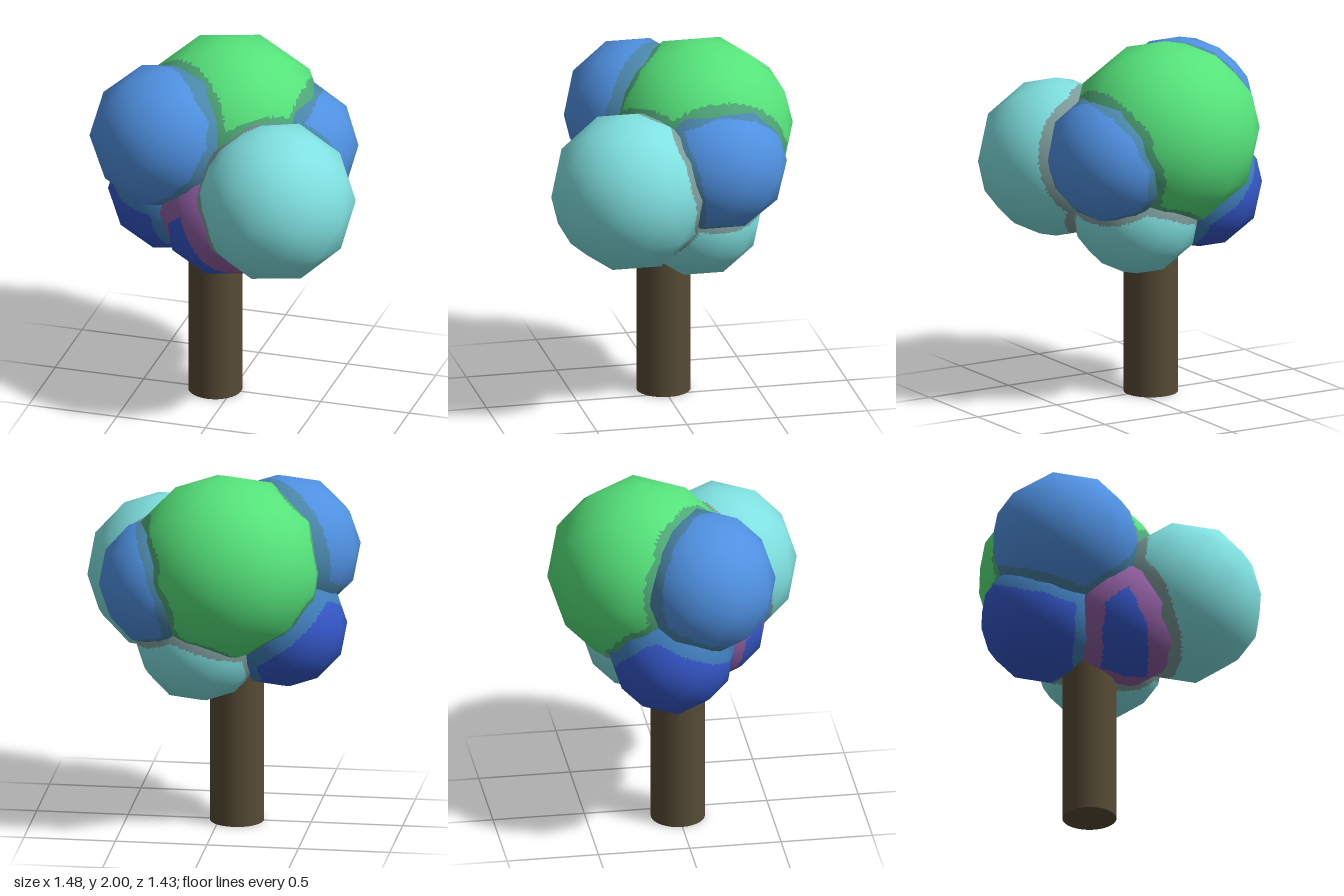
import * as THREE from 'three';

const mat = (name, color) => {
  const m = new THREE.MeshStandardMaterial({ color });
  m.name = name;
  return m;
};

// Low-poly ball with a pole pointing up and smooth normals
const icosphere = new THREE.IcosahedronGeometry(1, 1).rotateZ(Math.atan(0.618034)).rotateY(Math.PI);

// Approximate distance from a point to the surface of a ball
const distanceTo = (ball, v) => {
  const [rx, ry, rz] = ball.radii;
  const [x, y, z] = ball.at;
  return (Math.hypot((v.x - x) / rx, (v.y - y) / ry, (v.z - z) / rz) - 0.97) * ry;
};

// Splits every face of the ball flatly, so that a seam band next to other balls gets its own material
function ballGeometry(ball, others, steps = 12) {
  const radii = new THREE.Vector3(...ball.radii);
  const centre = new THREE.Vector3(...ball.at);
  const pos = icosphere.attributes.position;
  const parts = [{ p: [], n: [] }, { p: [], n: [] }];

  for (let f = 0; f < pos.count; f += 3) {
    const [a, b, c] = [0, 1, 2].map((k) => new THREE.Vector3().fromBufferAttribute(pos, f + k));
    const point = (i, j) => new THREE.Vector3()
      .addScaledVector(a, 1 - (i + j) / steps)
      .addScaledVector(b, i / steps)
      .addScaledVector(c, j / steps);
    const addTriangle = (...corners) => {
      const mid = new THREE.Vector3();
      corners.forEach((v) => mid.addScaledVector(v, 1 / 3));
      mid.multiply(radii).add(centre);
      const d = Math.min(...others.map((o) => distanceTo(o, mid)));
      if (d < -0.1) return; // buried inside a neighbour
      const part = parts[d < ball.seam ? 1 : 0];
      for (const v of corners) {
        part.p.push(...v.clone().multiply(radii).toArray());
        part.n.push(...v.clone().divide(radii).normalize().toArray());
      }
    };
    for (let i = 0; i < steps; i++) {
      for (let j = 0; j < steps - i; j++) {
        addTriangle(point(i, j), point(i + 1, j), point(i, j + 1));
        if (i + j < steps - 1) addTriangle(point(i + 1, j), point(i + 1, j + 1), point(i, j + 1));
      }
    }
  }

  const g = new THREE.BufferGeometry();
  const join = (key) => new THREE.Float32BufferAttribute(parts[0][key].concat(parts[1][key]), 3);
  g.setAttribute('position', join('p'));
  g.setAttribute('normal', join('n'));
  const first = parts[0].p.length / 3;
  g.addGroup(0, first, 0);
  g.addGroup(first, parts[1].p.length / 3, 1);
  return g;
}

export function createModel() {
  const tree = new THREE.Group();
  tree.name = 'tree';

  const green = mat('leaf green', 0x55e27a);
  const blue = mat('sky blue', 0x4f90e0);
  const teal = mat('pale teal', 0x7fdfdf);
  const royal = mat('royal blue', 0x3457c8);
  const greenSeam = mat('muted green', 0x4fa878);
  const blueSeam = mat('muted blue', 0x4a86aa);
  const tealSeam = mat('muted teal', 0x7d9c9a);
  const royalSeam = mat('mid blue', 0x3f7cb8);
  const purple = mat('purple', 0x8c5c9e);
  const bark = mat('bark brown', 0x564b35);

  // Trunk
  const trunk = new THREE.Mesh(new THREE.CylinderGeometry(0.147, 0.147, 1.1, 32), bark);
  trunk.name = 'trunk';
  trunk.position.set(-0.096, 0.55, -0.003);
  tree.add(trunk);

  // Foliage balls
  const balls = [
    { name: 'crownTop', at: [-0.065, 1.487, -0.2], radii: [0.53, 0.513, 0.513],
      seam: 0.03, mats: [green, greenSeam] },
    { name: 'crownUpperRight', at: [-0.34, 1.525, 0.1], radii: [0.42, 0.398, 0.395],
      seam: 0.05, mats: [blue, blueSeam] },
    { name: 'crownFrontLeft', at: [0.33, 1.303, 0.283], radii: [0.435, 0.442, 0.432],
      seam: 0.05, mats: [teal, tealSeam] },
    { name: 'crownBackLeft', at: [0.285, 1.398, -0.215], radii: [0.345, 0.36, 0.387],
      seam: 0.025, mats: [blue, blueSeam] },
    { name: 'crownLowerBack', at: [0.085, 1.07, -0.15], radii: [0.358, 0.358, 0.358],
      seam: 0.025, mats: [teal, tealSeam] },
    { name: 'crownLowerRight', at: [-0.36, 1.13, -0.075], radii: [0.35, 0.342, 0.342],
      seam: 0.06, mats: [royal, royalSeam] },
    { name: 'crownLowerFront', at: [0.01, 1.135, 0.15], radii: [0.36, 0.35, 0.35],
      seam: 0.1, mats: [royal, purple] },
  ];
  for (const ball of balls) {
    const mesh = new THREE.Mesh(ballGeometry(ball, balls.filter((o) => o !== ball)), ball.mats);
    mesh.name = ball.name;
    mesh.position.set(...ball.at);
    tree.add(mesh);
  }
  return tree;
}
